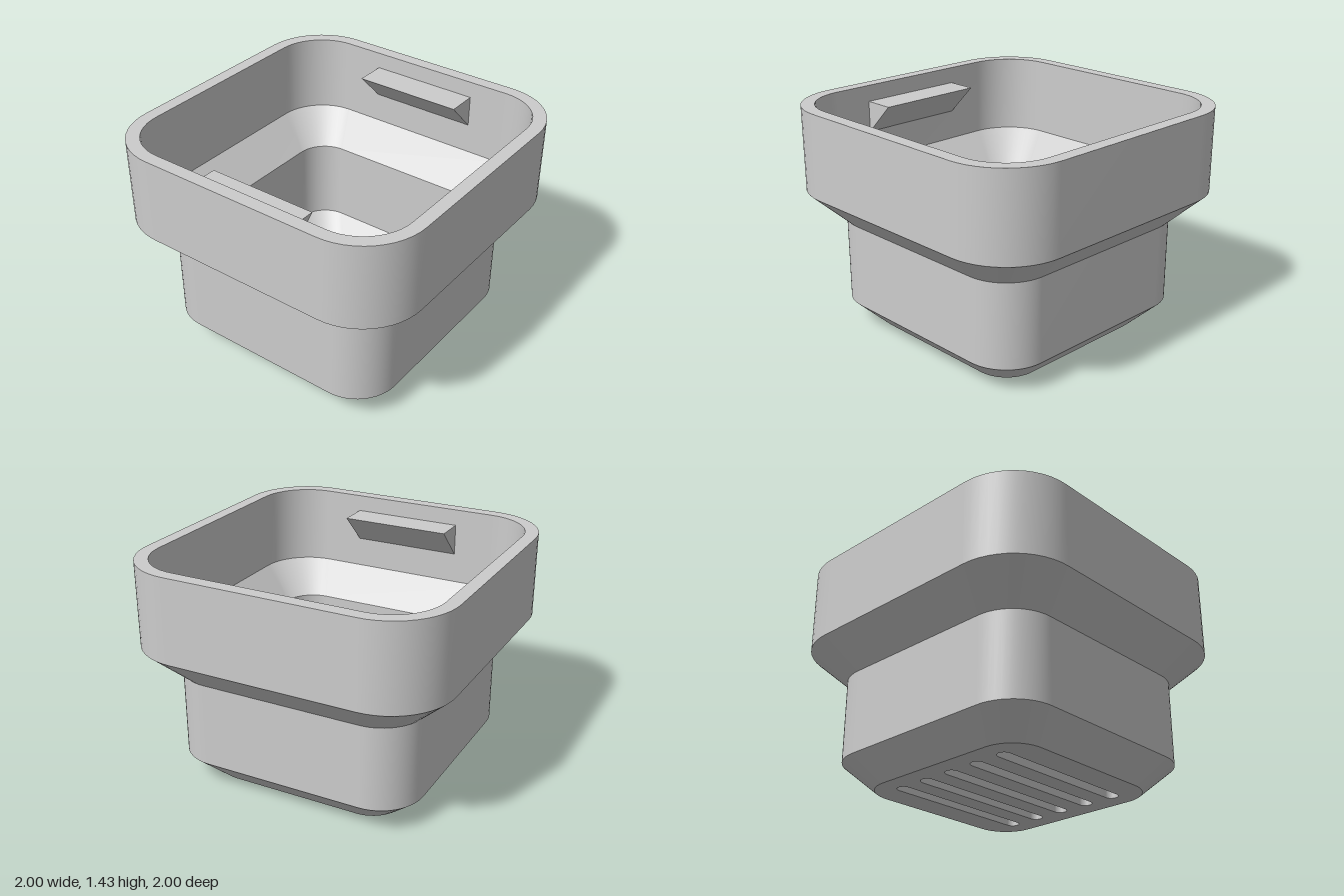
import * as THREE from 'three';

const SEGMENTS = 12; // per corner

// Rounded rectangle as [x, z] points, centred on cx
function outline(hx, hz, r, cx = 0) {
  const pts = [];
  const corners = [[1, 1], [-1, 1], [-1, -1], [1, -1]];
  corners.forEach(([sx, sz], c) => {
    for (let i = 0; i <= SEGMENTS; i++) {
      const t = (c + i / SEGMENTS) * Math.PI / 2;
      pts.push([cx + sx * (hx - r) + r * Math.cos(t), sz * (hz - r) + r * Math.sin(t)]);
    }
  });
  return pts;
}

// Closed band of faces joining two outlines, smooth around and sharp at its edges
function band(a, ya, b, yb) {
  const n = a.length, pos = [], index = [];
  a.forEach(([x, z]) => pos.push(x, ya, z));
  b.forEach(([x, z]) => pos.push(x, yb, z));
  for (let i = 0; i < n; i++) {
    const j = (i + 1) % n;
    index.push(i, n + i, j, j, n + i, n + j);
  }
  const g = new THREE.BufferGeometry();
  g.setAttribute('position', new THREE.Float32BufferAttribute(pos, 3));
  g.setIndex(index);
  g.computeVertexNormals();
  return g;
}

export function createModel() {
  const model = new THREE.Group();
  const grey = new THREE.MeshStandardMaterial({ color: 0xcccccc });
  grey.name = 'light grey';
  const add = (name, geometry) => {
    const mesh = new THREE.Mesh(geometry, grey);
    mesh.name = name;
    model.add(mesh);
    return mesh;
  };

  // Shell profile: up the outside, over the rim, down the inside [half width, corner radius, y]
  const profile = [
    [0.63, 0.21, 0], [0.795, 0.28, 0.165], [0.795, 0.28, 0.70], [1, 0.4, 0.90], [1, 0.4, 1.435],
    [0.916, 0.316, 1.435], [0.916, 0.316, 0.935], [0.715, 0.2, 0.735], [0.715, 0.2, 0.195], [0.6, 0.18, 0.08],
  ];
  const names = ['outerBottomChamfer', 'outerLowerWall', 'outerShoulder', 'outerUpperWall', 'rim',
    'innerUpperWall', 'innerShoulder', 'innerLowerWall', 'innerBottomChamfer'];
  const rings = profile.map(([h, r]) => outline(h, h, r));
  names.forEach((name, i) =>
    add(name, band(rings[i], profile[i][2], rings[i + 1], profile[i + 1][2])));

  // Slotted floor
  const slots = [-2, -1, 0, 1, 2].map((i) => outline(0.042, 0.515, 0.0419, i * 0.205));
  const toVectors = (pts) => pts.map(([x, z]) => new THREE.Vector2(x, z));
  const floor = (ring, y, tilt) => {
    const shape = new THREE.Shape(toVectors(ring));
    slots.forEach((s) => shape.holes.push(new THREE.Path(toVectors(s))));
    return new THREE.ShapeGeometry(shape).rotateX(tilt).translate(0, y, 0);
  };
  add('floorTop', floor(rings[9], 0.08, -Math.PI / 2));
  add('floorUnderside', floor(rings[0], 0, Math.PI / 2));
  slots.forEach((s) => add('slotWall', band(s, 0.08, s, 0)));

  // Wedge ledges on the two side walls, flat on top and sloped beneath
  const wedge = new THREE.Shape([[0.715, 1.33], [0.93, 1.115], [0.93, 1.33]]
    .map(([x, y]) => new THREE.Vector2(x, y)));
  const ledge = new THREE.ExtrudeGeometry(wedge, { depth: 0.71, bevelEnabled: false }).translate(0, 0, -0.355);
  add('leftLedge', ledge);
  add('rightLedge', ledge).rotation.y = Math.PI;

  return model;
}
